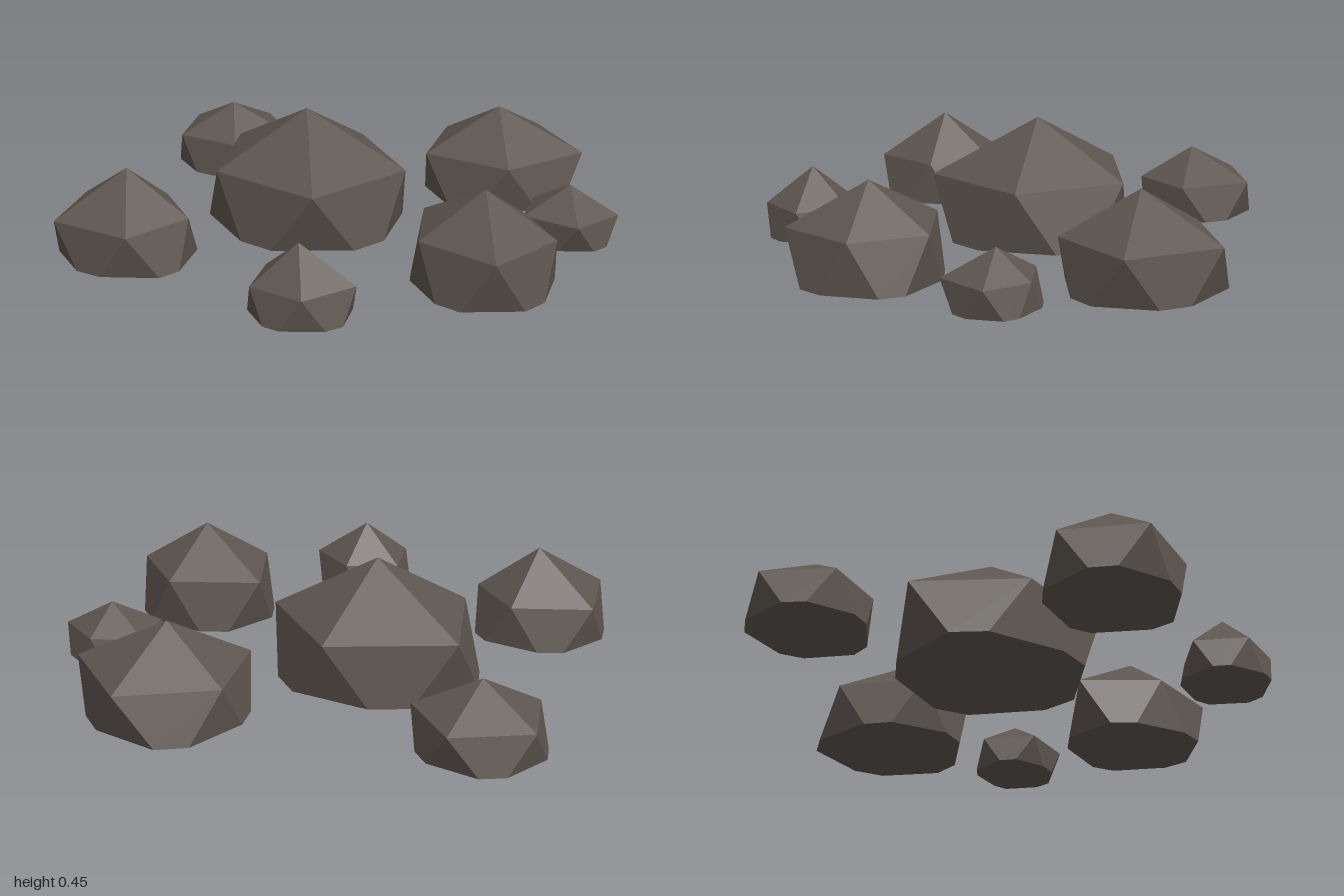
import * as THREE from 'three';

const stone = new THREE.MeshStandardMaterial({ color: 0x5e5650, flatShading: true });
stone.name = 'darkStone';

const CUT = 0.68; // how far down each slanted edge the ground cuts it
const DEPTH = 0.93; // boulders are slightly narrower front to back

// Corner at a given bearing and distance around the apex
function corner(apex, degrees, radius, y) {
  const t = THREE.MathUtils.degToRad(degrees);
  const bearing = Math.atan2(DEPTH * Math.sin(t), Math.cos(t));
  return new THREE.Vector3(apex.x + Math.cos(bearing) * radius, y, apex.z + Math.sin(bearing) * radius);
}

// Irregular icosahedron cut off at the ground: an apex, five ring corners
// at shoulder height, and five buried corners turned half a step.
function boulder(name, position, shoulder, ringRadii, buriedRadii) {
  const apex = new THREE.Vector3(...position);
  const base = apex.clone().setY(0);
  const ring = ringRadii.map((r, k) => corner(apex, 72 * k, r, shoulder));
  const buried = buriedRadii.map((r, k) => corner(apex, 72 * k + 36, r, 0));
  const ground = (u, k) => u.clone().lerp(buried[k], CUT).setY(0);

  const points = [];
  const face = (...p) => {
    for (let i = 1; i < p.length - 1; i++) points.push(p[0], p[i], p[i + 1]);
  };
  for (let k = 0; k < 5; k++) {
    const u = ring[k], next = ring[(k + 1) % 5];
    const a = ground(u, k), b = ground(next, k), before = ground(u, (k + 4) % 5);
    face(apex, next, u); // cap
    face(u, next, b, a); // wide side facet
    face(u, a, before); // narrow side facet
    face(base, a, b); // flat underside
    face(base, before, a);
  }
  const geometry = new THREE.BufferGeometry().setFromPoints(points);
  geometry.computeVertexNormals();
  const mesh = new THREE.Mesh(geometry, stone);
  mesh.name = name;
  return mesh;
}

export function createModel() {
  const group = new THREE.Group();
  group.name = 'boulderCluster';
  group.add(
    boulder('largeCentreBoulder', [-0.2, 0.45, -0.1], 0.235,
      [0.39, 0.405, 0.36, 0.42, 0.38], [0.39, 0.36, 0.42, 0.36, 0.39]),
    boulder('backLeftBoulder', [0.45, 0.35, -0.61], 0.185,
      [0.34, 0.29, 0.31, 0.3, 0.324], [0.31, 0.29, 0.3, 0.33, 0.3]),
    boulder('backRightBoulder', [-0.68, 0.26, -0.635], 0.14,
      [0.25, 0.205, 0.225, 0.25, 0.25], [0.24, 0.21, 0.25, 0.25, 0.24]),
    boulder('frontRightBoulder', [-0.735, 0.34, 0.415], 0.165,
      [0.235, 0.26, 0.277, 0.28, 0.225], [0.28, 0.24, 0.28, 0.26, 0.27]),
    boulder('frontLeftBoulder', [0.585, 0.36, 0.335], 0.195,
      [0.26, 0.297, 0.25, 0.316, 0.26], [0.28, 0.27, 0.285, 0.28, 0.28]),
    boulder('smallFrontBoulder', [0.02, 0.26, 0.74], 0.12,
      [0.205, 0.18, 0.178, 0.183, 0.16], [0.2, 0.18, 0.195, 0.18, 0.19]),
    boulder('smallLeftBoulder', [0.81, 0.21, -0.18], 0.107,
      [0.185, 0.19, 0.19, 0.186, 0.14], [0.17, 0.15, 0.19, 0.175, 0.17]),
  );
  return group;
}
